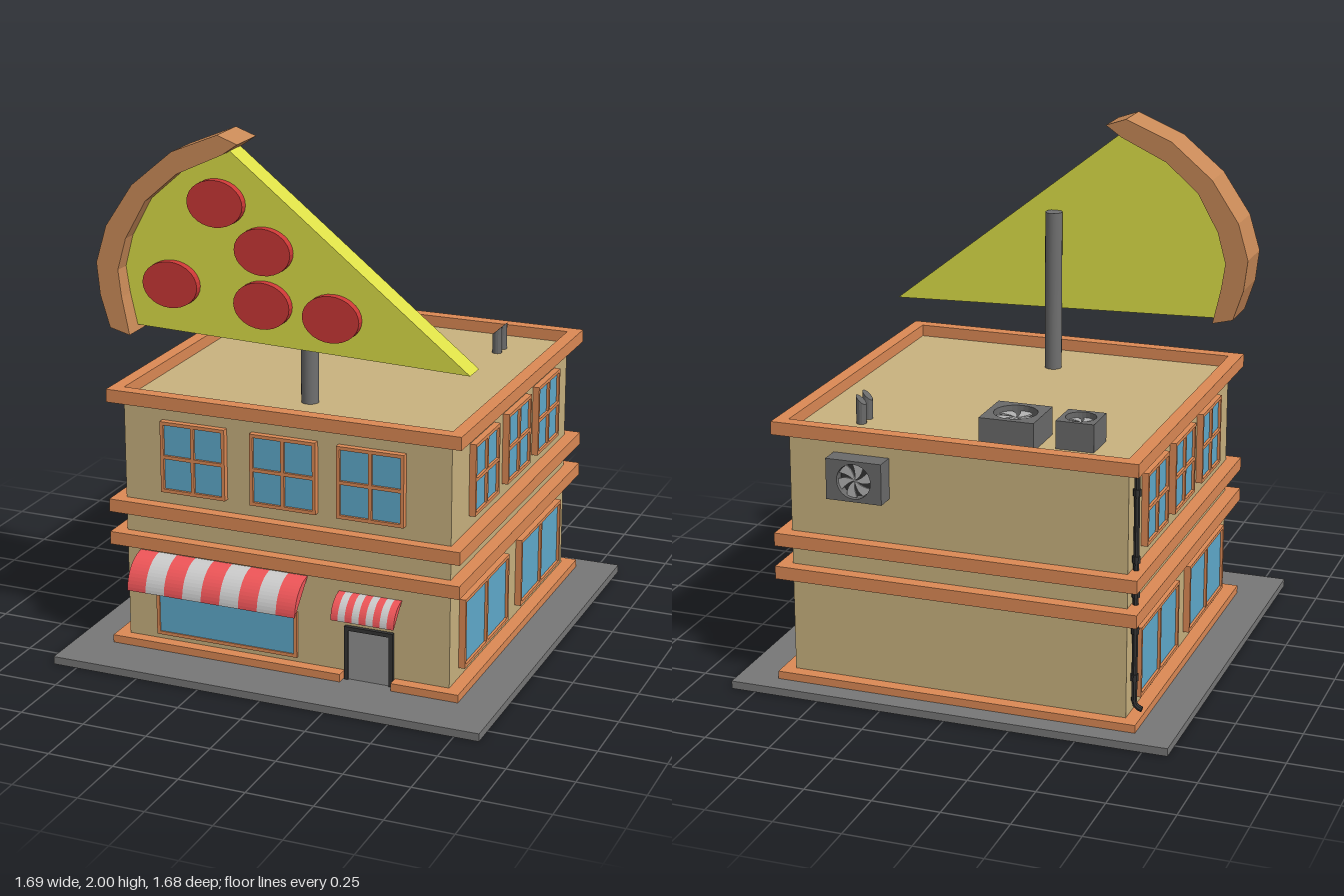
import * as THREE from 'three';

const mat = (color) => new THREE.MeshStandardMaterial({ color, flatShading: true, side: THREE.DoubleSide });
const M = {
  wall: mat(0xc9b27f), trim: mat(0xdd8a55), glass: mat(0x5faacc), slab: mat(0x777777),
  metal: mat(0x6a6a6a), dark: mat(0x333333), blade: mat(0xb4b4b4), door: mat(0x929292),
  red: mat(0xee5558), white: mat(0xc2c2c2), cheese: mat(0xdddf48), crust: mat(0xc98a58), pepperoni: mat(0xcb3836),
};

function add(parent, name, geometry, material, x = 0, y = 0, z = 0) {
  const mesh = new THREE.Mesh(geometry, material);
  mesh.name = name;
  mesh.position.set(x, y, z);
  parent.add(mesh);
  return mesh;
}

// Box given by its two opposite corners
function block(parent, name, material, [x0, y0, z0], [x1, y1, z1]) {
  return add(parent, name, new THREE.BoxGeometry(x1 - x0, y1 - y0, z1 - z0), material,
    (x0 + x1) / 2, (y0 + y1) / 2, (z0 + z1) / 2);
}

const polygon = (pts) => new THREE.Shape(pts.map(([x, y]) => new THREE.Vector2(x, y)));
const rect = (x0, y0, x1, y1) => polygon([[x0, y0], [x1, y0], [x1, y1], [x0, y1]]);
const extrude = (shape, depth, curveSegments = 12) =>
  new THREE.ExtrudeGeometry(shape, { depth, bevelEnabled: false, curveSegments });

// Framed window facing +z, centred on its own origin, with a grid of panes
function makeWindow(name, w, h, cols, rows, depth = 0.025, bar = 0.013) {
  const g = new THREE.Group();
  g.name = name;
  const frame = rect(-w / 2, -h / 2, w / 2, h / 2);
  const pw = (w - bar * (cols + 1)) / cols, ph = (h - bar * (rows + 1)) / rows;
  for (let i = 0; i < cols; i++) for (let j = 0; j < rows; j++) {
    const x = -w / 2 + bar + i * (pw + bar), y = -h / 2 + bar + j * (ph + bar);
    frame.holes.push(rect(x, y, x + pw, y + ph));
  }
  add(g, 'windowFrame', extrude(frame, depth), M.trim);
  add(g, 'windowGlass', new THREE.BoxGeometry(w - bar, h - bar, depth * 0.6), M.glass, 0, 0, depth * 0.3);
  return g;
}

// Fan housing facing +z with a round opening and swept blades
function makeFan(name, w, h, depth, r) {
  const g = new THREE.Group();
  g.name = name;
  const face = rect(-w / 2, -h / 2, w / 2, h / 2);
  face.holes.push(new THREE.Path().absarc(0, 0, r, 0, Math.PI * 2, true));
  add(g, 'fanHousing', extrude(face, depth), M.metal);
  add(g, 'fanBack', new THREE.BoxGeometry(w * 0.98, h * 0.98, 0.01), M.dark, 0, 0, depth * 0.4);
  const blade = new THREE.Shape();
  blade.moveTo(0, 0);
  blade.quadraticCurveTo(r * 0.5, -r * 0.25, r * 0.97, 0);
  blade.absarc(0, 0, r * 0.97, 0, 0.65, false);
  blade.quadraticCurveTo(r * 0.45, r * 0.15, 0, 0);
  for (let i = 0; i < 6; i++) {
    add(g, 'fanBlade', extrude(blade, 0.006, 5), M.blade, 0, 0, depth * 0.75).rotation.z = i * Math.PI / 3;
  }
  return g;
}

// Quarter-round awning made of alternating stripes
function makeAwning(name, x0, x1, y, z, rz, ry, count) {
  const g = new THREE.Group();
  g.name = name;
  const profile = new THREE.Shape();
  profile.moveTo(0, 0);
  profile.absellipse(0, 0, rz, ry, 0, Math.PI / 2, false);
  const w = (x1 - x0) / count;
  const geo = extrude(profile, w, 7).rotateY(-Math.PI / 2);
  for (let i = 0; i < count; i++) add(g, 'awningStripe', geo, i % 2 ? M.white : M.red, x0 + w * (i + 1), y, z);
  return g;
}

export function createModel() {
  const model = new THREE.Group();
  model.name = 'restaurant';

  // Ground slab and walls
  block(model, 'groundSlab', M.slab, [-0.845, 0, -0.84], [0.845, 0.03, 0.84]);
  block(model, 'walls', M.wall, [-0.65, 0.03, -0.71], [0.64, 0.995, 0.59]);

  // Trim bands; the lowest is broken by the door
  const X0 = -0.7, X1 = 0.69, Z0 = -0.76, Z1 = 0.635;
  for (const [a, b] of [[0.43, 0.48], [0.56, 0.61]]) block(model, 'trimBand', M.trim, [X0, a, Z0], [X1, b, Z1]);
  const parapet = rect(X0, -Z1, X1, -Z0);
  parapet.holes.push(rect(-0.65, -0.585, 0.64, 0.71));
  add(model, 'parapet', extrude(parapet, 0.05).rotateX(-Math.PI / 2), M.trim, 0, 0.99, 0);
  const base = polygon([[0.23, -Z1], [X0, -Z1], [X0, -Z0], [X1, -Z0], [X1, -Z1], [0.43, -Z1],
    [0.43, -0.58], [0.63, -0.58], [0.63, 0.7], [-0.64, 0.7], [-0.64, -0.58], [0.23, -0.58]]);
  add(model, 'baseTrim', extrude(base, 0.03).rotateX(-Math.PI / 2), M.trim, 0, 0.03, 0);

  // Front windows
  const place = (obj, x, y, z, ry = 0) => {
    obj.position.set(x, y, z);
    obj.rotation.y = ry;
    model.add(obj);
  };
  for (const x of [-0.363, -0.003, 0.338]) place(makeWindow('frontUpperWindow', 0.26, 0.275, 2, 2), x, 0.798, 0.59);
  place(makeWindow('shopWindow', 0.575, 0.18, 1, 1, 0.012), -0.243, 0.17, 0.59);

  // Side windows, the same on both sides
  for (const [x, s] of [[0.64, 1], [-0.65, -1]]) {
    for (const z of [0.28, -0.08, -0.425]) {
      place(makeWindow('sideUpperWindow', 0.26, 0.275, 2, 2), x, 0.798, z, s * Math.PI / 2);
    }
    for (const z of [0.255, -0.37]) {
      place(makeWindow('sideLowerWindow', 0.48, 0.27, 2, 1), x, 0.235, z, s * Math.PI / 2);
    }
  }

  // Door and awnings
  block(model, 'doorPanel', M.door, [0.25, 0.03, 0.58], [0.41, 0.225, 0.597]);
  add(model, 'doorFrame', extrude(polygon([[0.235, 0.03], [0.25, 0.03], [0.25, 0.225], [0.41, 0.225],
    [0.41, 0.03], [0.425, 0.03], [0.425, 0.24], [0.235, 0.24]]), 0.025), M.dark, 0, 0, 0.58);
  model.add(makeAwning('shopAwning', -0.595, 0.085, 0.288, 0.59, 0.12, 0.12, 9));
  model.add(makeAwning('doorAwning', 0.21, 0.455, 0.288, 0.59, 0.083, 0.083, 9));

  // Drainpipe with joints and a kicked-out foot
  const pipePath = new THREE.CurvePath();
  const p = (x, y) => new THREE.Vector3(x, y, -0.66);
  pipePath.add(new THREE.LineCurve3(p(-0.665, 0.99), p(-0.665, 0.11)));
  pipePath.add(new THREE.QuadraticBezierCurve3(p(-0.665, 0.11), p(-0.665, 0.085), p(-0.695, 0.078)));
  add(model, 'drainpipe', new THREE.TubeGeometry(pipePath, 60, 0.011, 8), M.dark);
  for (const y of [0.2, 0.38, 0.52, 0.65, 0.9]) {
    add(model, 'pipeJoint', new THREE.CylinderGeometry(0.015, 0.015, 0.025, 8), M.dark, -0.665, y, -0.66);
  }

  // Fans on the roof and on the back wall
  for (const [x, z, w, r] of [[-0.405, -0.503, 0.143, 0.056], [-0.168, -0.53, 0.207, 0.08]]) {
    const fan = makeFan('roofFan', w, w, 0.105, r);
    fan.rotation.x = -Math.PI / 2;
    fan.position.set(x, 0.995, z);
    model.add(fan);
  }
  place(makeFan('wallFan', 0.215, 0.155, 0.075, 0.066), 0.358, 0.857, -0.71, Math.PI);

  // Roof vents with slanted tops
  for (const z of [-0.54, -0.48]) {
    const geo = new THREE.CylinderGeometry(0.019, 0.019, 0.09, 12);
    const pos = geo.attributes.position;
    for (let i = 0; i < pos.count; i++) if (pos.getY(i) > 0) pos.setY(i, 0.045 + pos.getX(i) * 0.9);
    add(model, 'roofVent', geo, M.metal, 0.428, 1.04, z);
  }

  // Sign: pole, slice, crust and toppings
  const poleMat = new THREE.MeshStandardMaterial({ color: 0x707070 });
  add(model, 'signPole', new THREE.CylinderGeometry(0.033, 0.033, 0.63, 20), poleMat, -0.004, 1.305, 0.355);
  const outer = [[-0.72, 1.25], [-0.76, 1.37], [-0.775, 1.49], [-0.735, 1.63], [-0.63, 1.79], [-0.47, 1.925], [-0.29, 2]];
  const inner = [[-0.27, 1.93], [-0.45, 1.845], [-0.575, 1.735], [-0.655, 1.59], [-0.687, 1.47], [-0.672, 1.37], [-0.64, 1.23]];
  add(model, 'signSlice', extrude(polygon([[0.66, 1.21], [-0.27, 1.945], [-0.46, 1.87], [-0.6, 1.75],
    [-0.69, 1.6], [-0.72, 1.48], [-0.7, 1.37], [-0.65, 1.25]]), 0.092), M.cheese, 0, 0, 0.382);

  // Crust front leans back toward the top
  const crust = extrude(polygon([...outer, [-0.21, 1.972], ...inner]), 1);
  const cp = crust.attributes.position;
  for (let i = 0; i < cp.count; i++) {
    const t = (cp.getY(i) - 1.23) / 0.77;
    cp.setZ(i, cp.getZ(i) > 0.5 ? 0.55 - 0.035 * t : 0.37 - 0.015 * t);
  }
  add(model, 'signCrust', crust, M.crust);

  for (const [x, y] of [[-0.31, 1.745], [-0.125, 1.585], [-0.495, 1.425], [-0.13, 1.385], [0.14, 1.365]]) {
    const disc = new THREE.CylinderGeometry(0.11, 0.11, 0.035, 28).rotateX(Math.PI / 2).scale(1, 0.79, 1);
    add(model, 'signTopping', disc, M.pepperoni, x, y, 0.487);
  }
  return model;
}
